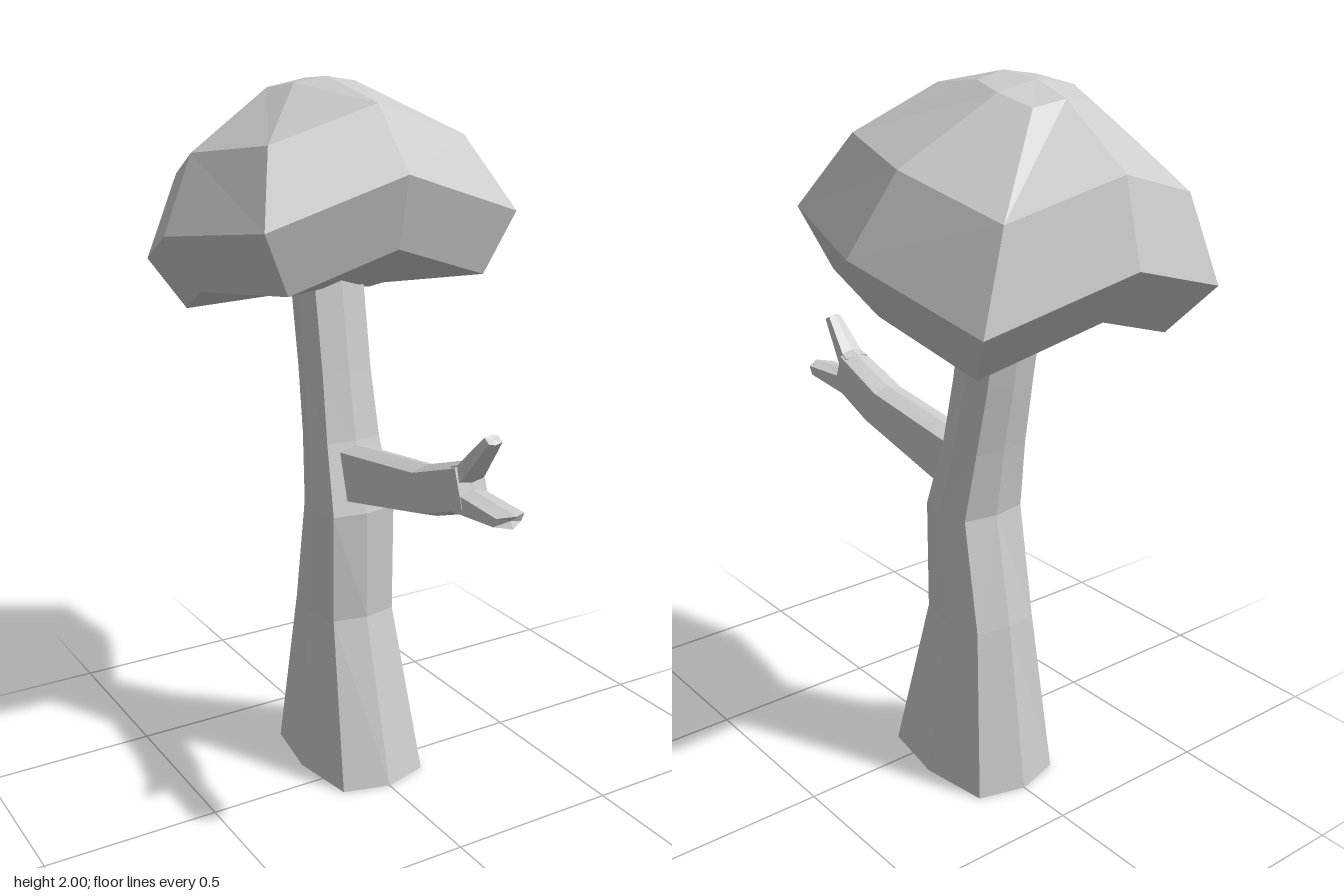
import * as THREE from 'three';

// Mirror a half section (first and last points lie on x = 0) into a closed ring.
const ring = (half) => [...half, ...half.slice(1, -1).reverse().map(([x, y, z]) => [-x, y, z])];

const centre = (r) => [0, 1, 2].map((k) => r.reduce((s, p) => s + p[k], 0) / r.length);

// Faceted skin through mirrored rings, closed by fans at both ends.
function loft(name, material, halves, startTip, endTip) {
  const rings = halves.map(ring);
  const n = rings[0].length;
  const first = rings[0], last = rings[rings.length - 1];
  const a = startTip || centre(first), b = endTip || centre(last);
  const pos = [];
  const tri = (...pts) => pts.forEach((p) => pos.push(...p));
  for (let i = 0; i < n; i++) {
    const j = (i + 1) % n;
    tri(a, first[j], first[i]);
    tri(b, last[i], last[j]);
    for (let k = 0; k + 1 < rings.length; k++) {
      const lo = rings[k], hi = rings[k + 1];
      if (i < n / 2) { // diagonals mirrored left to right
        tri(lo[i], lo[j], hi[j]);
        tri(lo[i], hi[j], hi[i]);
      } else {
        tri(lo[i], lo[j], hi[i]);
        tri(lo[j], hi[j], hi[i]);
      }
    }
  }
  const geometry = new THREE.BufferGeometry();
  geometry.setAttribute('position', new THREE.Float32BufferAttribute(pos, 3));
  geometry.computeVertexNormals();
  const mesh = new THREE.Mesh(geometry, material);
  mesh.name = name;
  return mesh;
}

// Eight-sided trunk section: half width, front z, back z.
function trunkSection([y, w, front, back]) {
  const mid = (front + back) / 2, d = (front - back) / 2;
  return [[0, y, front], [w * 0.81, y, mid + d * 0.84], [w, y, mid],
    [w * 0.81, y, mid - d * 0.84], [0, y, back]];
}

// Six-sided limb section: half width, bottom y/z, top y/z, ridge height, ridge overhang.
function limbSection([w, yb, zb, yt, zt, r, over = 0]) {
  return [[0, yb, zb], [w, yb + r, zb - over], [w, yt - r, zt - over], [0, yt, zt]];
}

export function createModel() {
  const grey = new THREE.MeshStandardMaterial({ color: 0xcccccc });
  grey.name = 'light grey';
  const tree = new THREE.Group();
  tree.name = 'tree';

  // Trunk: flared foot, bending backwards towards the top
  tree.add(loft('trunk', grey, [
    [0, 0.165, 0.135, -0.335],
    [0.49, 0.122, 0.005, -0.26],
    [0.81, 0.122, 0.005, -0.197],
    [1.01, 0.105, -0.055, -0.225],
    [1.2, 0.096, -0.09, -0.26],
    [1.48, 0.096, -0.135, -0.305],
  ].map(trunkSection)));

  // Canopy: tilted, wavy-rimmed cap
  tree.add(loft('canopy', grey, [
    [[0, 1.585, 0.165], [0.3, 1.485, 0.12], [0.39, 1.45, -0.21], [0.31, 1.345, -0.49], [0, 1.45, -0.58]],
    [[0, 1.78, 0.212], [0.38, 1.655, 0.155], [0.485, 1.605, -0.22], [0.38, 1.48, -0.598], [0, 1.597, -0.695]],
    [[0, 1.945, 0.062], [0.297, 1.85, 0.02], [0.375, 1.81, -0.275], [0.295, 1.722, -0.562], [0, 1.81, -0.638]],
    [[0, 2, -0.202], [0.095, 1.985, -0.215], [0.12, 1.968, -0.325], [0.09, 1.94, -0.415], [0, 1.955, -0.43]],
  ], [0, 1.425, -0.2], [0, 1.99, -0.325]));

  // Branch reaching forward and its two twigs
  const limb = (name, sections) => loft(name, grey, sections.map(limbSection));
  const branch = new THREE.Group();
  branch.name = 'branch';
  branch.add(
    limb('branchStem', [
      [0.052, 0.825, -0.06, 0.99, -0.12, 0.015],
      [0.048, 0.918, 0.36, 1.045, 0.31, 0.015],
      [0.042, 0.98, 0.53, 1.11, 0.495, 0.015],
    ]),
    limb('lowerTwig', [
      [0.04, 0.965, 0.46, 1.04, 0.48, 0.01],
      [0.042, 0.988, 0.685, 1.025, 0.697, 0.006, 0.025],
    ]),
    limb('upperTwig', [
      [0.038, 1.045, 0.5, 1.1, 0.47, 0.008],
      [0.034, 1.065, 0.52, 1.11, 0.495, 0.008],
      [0.02, 1.178, 0.605, 1.2, 0.585, 0.005],
    ]),
  );
  tree.add(branch);
  return tree;
}
